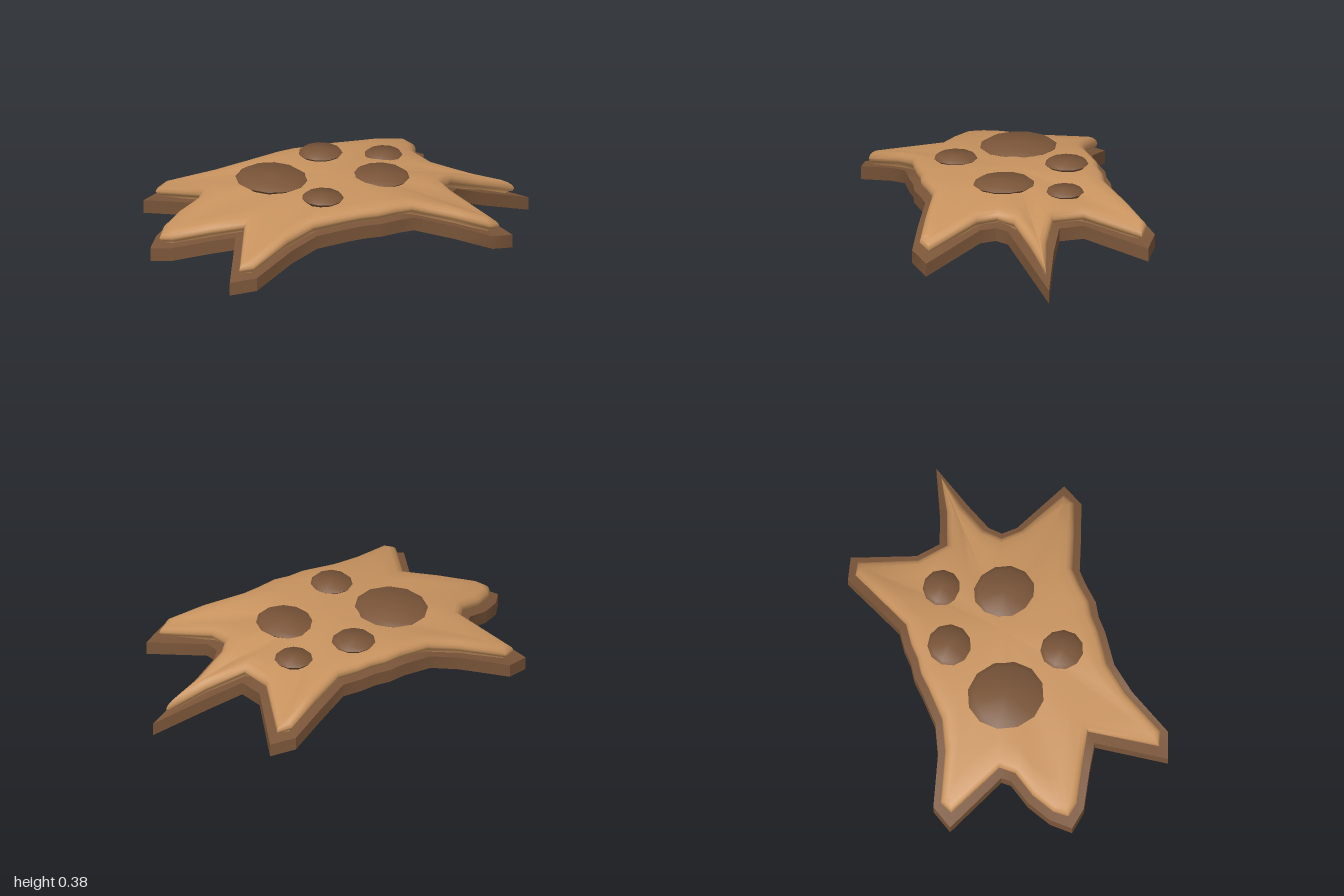
import * as THREE from 'three';
import { toCreasedNormals } from 'three/addons/utils/BufferGeometryUtils.js';

// Hide outline: [x, z, height of the underside], from the head round to the tail and back
const OUTLINE = [
  [-1, 0, 0.055], [-0.93, -0.09, 0.075], [-0.82, -0.165, 0.105], [-0.7, -0.21, 0.14], [-0.67, -0.25, 0.145],
  [-0.8, -0.56, 0.06], [-0.68, -0.605, 0.08], [-0.45, -0.5, 0.147], [-0.31, -0.465, 0.185],
  [-0.15, -0.475, 0.202], [-0.06, -0.485, 0.202], [0.02, -0.475, 0.203], [0.1, -0.48, 0.202], [0.2, -0.47, 0.2],
  [0.38, -0.54, 0.153], [0.565, -0.61, 0.095], [0.68, -0.555, 0.065], [0.55, -0.26, 0.157], [0.57, -0.135, 0.16],
  [0.73, -0.075, 0.095], [1, 0, 0], [0.73, 0.072, 0.095],
  [0.57, 0.12, 0.16], [0.52, 0.17, 0.165], [0.525, 0.25, 0.16], [0.685, 0.55, 0.065], [0.56, 0.595, 0.095],
  [0.38, 0.53, 0.153], [0.2, 0.46, 0.2], [0.12, 0.465, 0.202], [0.02, 0.48, 0.203], [-0.06, 0.468, 0.202],
  [-0.14, 0.472, 0.202], [-0.31, 0.46, 0.185], [-0.46, 0.5, 0.147], [-0.69, 0.605, 0.08], [-0.815, 0.56, 0.058],
  [-0.65, 0.24, 0.148], [-0.76, 0.175, 0.12], [-0.93, 0.085, 0.075],
];
const CENTRE_Y = 0.218;
const THICK = 0.067;
const N = OUTLINE.length;

// Outward mitre direction at each outline point, longer at sharp corners to blunt them
const MITRE = OUTLINE.map((p, i) => {
  const normal = (a, b) => new THREE.Vector2(b[1] - a[1], a[0] - b[0]).normalize();
  const n1 = normal(OUTLINE[(i + N - 1) % N], p);
  const n2 = normal(p, OUTLINE[(i + 1) % N]);
  const m = n1.clone().add(n2).divideScalar(1 + n1.dot(n2));
  return m.multiplyScalar(Math.sqrt(m.length())).clampLength(0, 2.2);
});

// One ring of the draped hide: outline inset, shrunk towards the centre and lifted
function ring(inset, scale, lift) {
  return OUTLINE.map(([x, z, y], i) => {
    const px = (x - MITRE[i].x * inset) * scale;
    const pz = (z - MITRE[i].y * inset) * scale;
    const s = Math.hypot(px, pz) / Math.hypot(x, z);
    return [px, CENTRE_Y + (y - CENTRE_Y) * s ** 1.7 + lift, pz];
  });
}

// Skin a list of rings, ordered from the underside up and over
function skin(rings, crease) {
  const index = [];
  for (let k = 0; k < rings.length - 1; k++) {
    for (let i = 0; i < N; i++) {
      const j = (i + 1) % N;
      const a = k * N + i, b = k * N + j, c = a + N, d = b + N;
      index.push(a, c, b, b, c, d);
    }
  }
  const g = new THREE.BufferGeometry();
  g.setAttribute('position', new THREE.Float32BufferAttribute(rings.flat(2), 3));
  g.setIndex(index);
  return toCreasedNormals(g, crease);
}

export function createModel() {
  const group = new THREE.Group();
  const tan = new THREE.MeshStandardMaterial({ color: 0xc8935f });
  tan.name = 'tan fur';
  const brown = new THREE.MeshStandardMaterial({ color: 0x7a5539 });
  brown.name = 'dark brown hide';

  const add = (name, geometry, material) => {
    const mesh = new THREE.Mesh(geometry, material);
    mesh.name = name;
    group.add(mesh);
    return mesh;
  };

  // Dark backing slab
  const steps = [0, 0.25, 0.5, 0.75, 1];
  add('backing', skin([
    ...steps.map((s) => ring(0, s, 0)),
    ...steps.slice().reverse().map((s) => ring(0, s, THICK)),
  ], 0.7), brown);

  // Fur pad with a rounded rim
  add('furPad', skin([
    ...[[0.055, -0.01], [0.052, 0.006], [0.038, 0.018], [0.034, 0.032], [0.039, 0.047], [0.05, 0.058], [0.066, 0.064]]
      .map(([inset, lift]) => ring(inset, 1, THICK + lift)),
    ...[0.85, 0.7, 0.5, 0.3, 0.15, 0].map((s) => ring(0.066, s, THICK + 0.065)),
  ], 0.9), tan);

  // Bevelled spots: x, z, radius x, radius z, height of the widest edge, sides
  const spots = [
    [-0.315, -0.103, 0.175, 0.19, 0.341, 12],
    [0.017, -0.278, 0.108, 0.107, 0.356, 11],
    [0.32, -0.21, 0.094, 0.094, 0.323, 11],
    [0.19, 0.067, 0.14, 0.152, 0.338, 12],
    [-0.185, 0.233, 0.102, 0.106, 0.348, 11],
  ];
  const profile = [[0, -0.018], [0.8, -0.018], [1, 0], [0.85, 0.014], [0, 0.018]]
    .map(([r, y]) => new THREE.Vector2(r, y));
  spots.forEach(([x, z, rx, rz, y, sides], i) => {
    const lens = toCreasedNormals(new THREE.LatheGeometry(profile, sides), 0.3);
    const spot = add('spot' + (i + 1), lens, brown);
    spot.scale.set(rx, 0.8 + 3 * rx, rz);
    spot.position.set(x, y, z);
  });

  return group;
}
